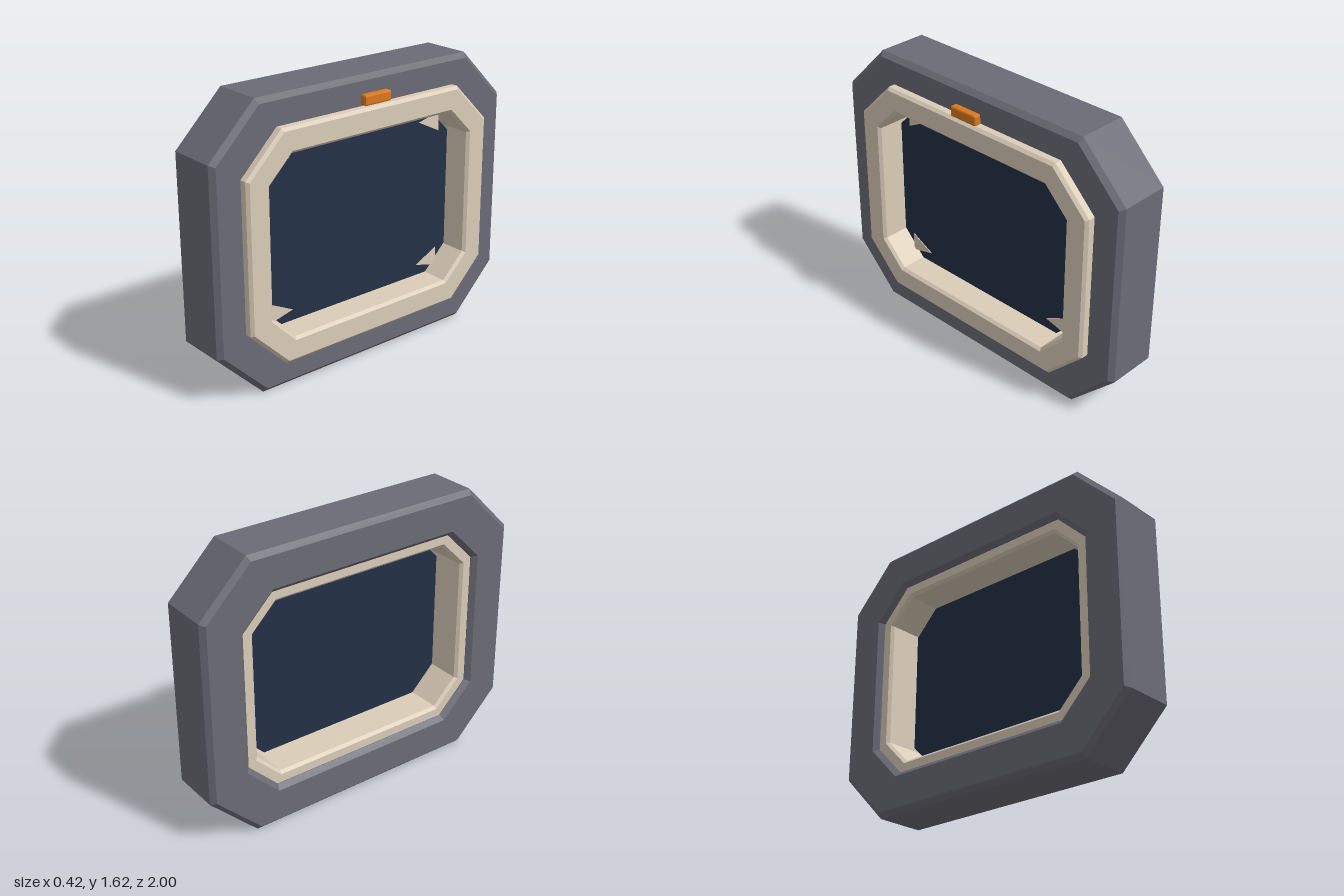
import * as THREE from 'three';
import { RoundedBoxGeometry } from 'three/addons/geometries/RoundedBoxGeometry.js';

const MID_Y = 0.811;

const flat = (name, color) => {
  const m = new THREE.MeshStandardMaterial({ color, flatShading: true });
  m.name = name;
  return m;
};

// Octagon with cut corners as [z, y] pairs; inset moves every side inwards evenly
function octagon({ hz, hy, cut }, inset = 0) {
  const z = hz - inset, y = hy - inset, c = cut - inset * (2 - Math.SQRT2);
  return [
    [z, -y + c], [z, y - c], [z - c, y], [-z + c, y],
    [-z, y - c], [-z, -y + c], [-z + c, -y], [z - c, -y],
  ];
}

// Closed octagonal ring with chamfered edges, running from x0 to x1
function ringGeometry(outer, inner, x0, x1, bevel) {
  const profile = [
    [x0, outer, bevel], [x0 + bevel, outer, 0], [x1 - bevel, outer, 0], [x1, outer, bevel],
    [x1, inner, -bevel], [x1 - bevel, inner, 0], [x0 + bevel, inner, 0], [x0, inner, -bevel],
  ];
  const positions = [], index = [], n = profile.length;
  for (const [x, outline, inset] of profile) {
    for (const [z, y] of octagon(outline, inset)) positions.push(x, y, z);
  }
  for (let i = 0; i < n; i++) {
    for (let j = 0; j < 8; j++) {
      const k = (j + 1) % 8, next = ((i + 1) % n) * 8;
      const a = i * 8 + j, b = i * 8 + k, c = next + k, d = next + j;
      index.push(a, d, b, b, d, c);
    }
  }
  const g = new THREE.BufferGeometry();
  g.setAttribute('position', new THREE.Float32BufferAttribute(positions, 3));
  g.setIndex(index);
  const result = g.toNonIndexed();
  result.computeVertexNormals();
  return result;
}

// Flat plate from a [z, y] outline, facing +x
function plateGeometry(points, x0, x1) {
  const shape = new THREE.Shape(points.map(([z, y]) => new THREE.Vector2(-z, y)));
  return new THREE.ExtrudeGeometry(shape, { depth: x1 - x0, bevelEnabled: false })
    .rotateY(Math.PI / 2)
    .translate(x0, 0, 0);
}

export function createModel() {
  const model = new THREE.Group();
  model.name = 'windowPanel';
  const frameGrey = flat('frameGrey', 0x6b6b76);
  const trimCream = flat('trimCream', 0xdaccb8);
  const glassNavy = flat('glassNavy', 0x243046);
  const lampOrange = flat('lampOrange', 0xd97820);

  const add = (name, geometry, material, y = MID_Y) => {
    const mesh = new THREE.Mesh(geometry, material);
    mesh.name = name;
    mesh.position.y = y;
    model.add(mesh);
    return mesh;
  };

  // Heavy outer frame
  add('outerFrame', ringGeometry(
    { hz: 1, hy: 0.811, cut: 0.283 },
    { hz: 0.755, hy: 0.575, cut: 0.18 }, -0.21, 0.13, 0.027), frameGrey);

  // Trim lining the opening and standing proud of the frame
  add('innerTrim', ringGeometry(
    { hz: 0.832, hy: 0.65, cut: 0.227 },
    { hz: 0.69, hy: 0.51, cut: 0.145 }, -0.18, 0.185, 0.016), trimCream);

  // Glass pane, slightly smaller than the opening
  add('glass', plateGeometry(octagon({ hz: 0.677, hy: 0.498, cut: 0.147 }), 0.015, 0.03), glassNavy);

  // Small corner wedges on the glass
  for (const sz of [1, -1]) {
    for (const sy of [1, -1]) {
      const wedge = [[0.604, 0.47], [0.604, 0.36], [0.455, 0.434]].map(([z, y]) => [z * sz, y * sy]);
      add('cornerWedge', plateGeometry(wedge, 0.03, 0.034), trimCream);
    }
  }

  // Indicator lamp above the opening
  add('indicatorLamp', new RoundedBoxGeometry(0.045, 0.06, 0.18, 1, 0.01), lampOrange, 1.51)
    .position.x = 0.183;

  return model;
}
